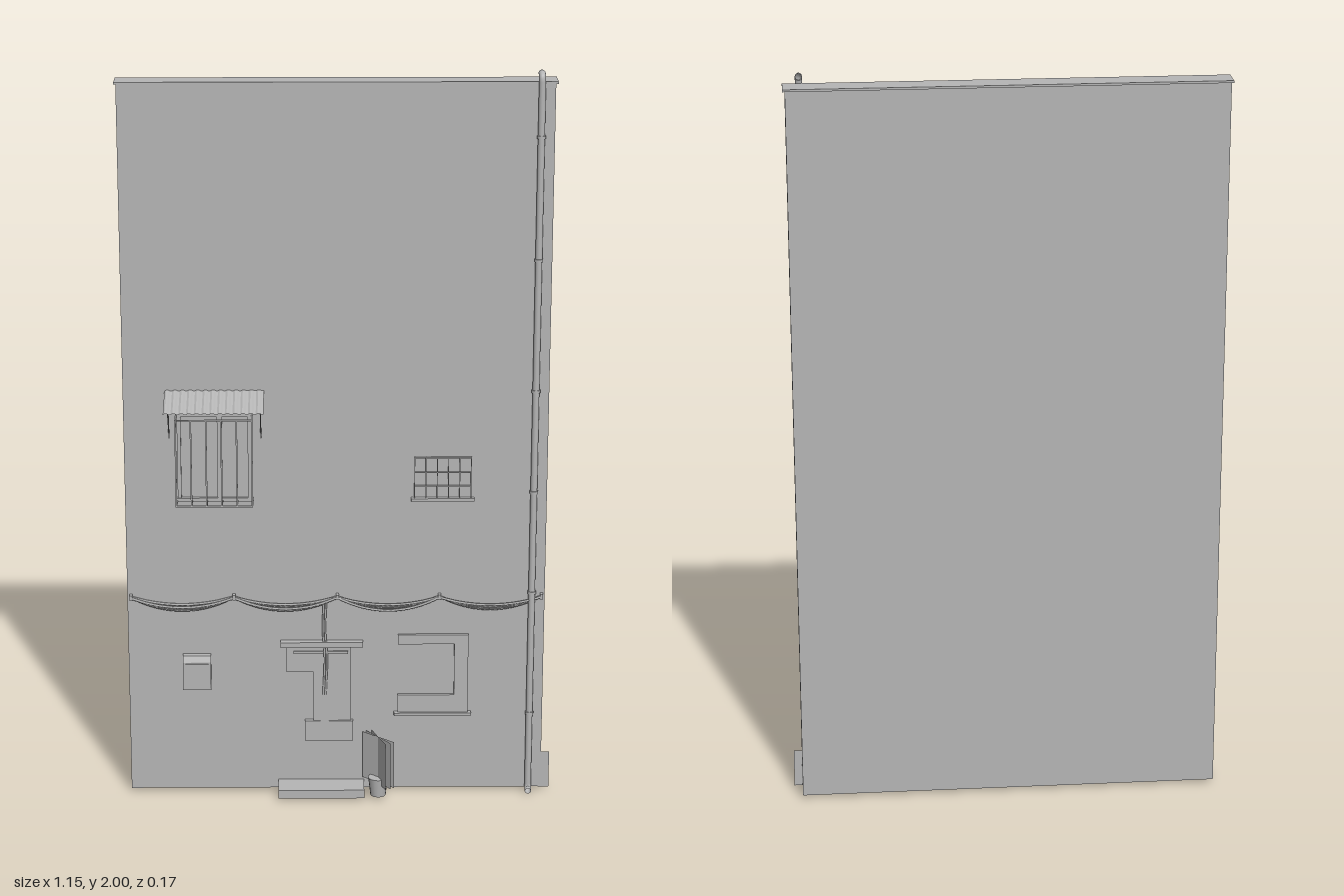
import * as THREE from 'three';

const grey = new THREE.MeshStandardMaterial({ color: 0xb6b6b6, side: THREE.DoubleSide });
grey.name = 'plainGrey';

const WALL_Z = -0.022; // front face of the wall

function add(parent, name, geometry) {
  const mesh = new THREE.Mesh(geometry, grey);
  mesh.name = name;
  parent.add(mesh);
  return mesh;
}

// box given by its limits on each axis
function block(parent, name, x0, x1, y0, y1, z0, z1) {
  const mesh = add(parent, name, new THREE.BoxGeometry(x1 - x0, y1 - y0, z1 - z0));
  mesh.position.set((x0 + x1) / 2, (y0 + y1) / 2, (z0 + z1) / 2);
  return mesh;
}

function tube(parent, name, points, radius, segments = 12, sides = 6) {
  const curve = new THREE.CatmullRomCurve3(points.map(p => new THREE.Vector3(...p)));
  return add(parent, name, new THREE.TubeGeometry(curve, segments, radius, sides));
}

function part(root, name) {
  const group = new THREE.Group();
  group.name = name;
  root.add(group);
  return group;
}

// flat outline raised from the wall
function plate(parent, name, points, depth) {
  const shape = new THREE.Shape(points.map(p => new THREE.Vector2(...p)));
  const mesh = add(parent, name, new THREE.ExtrudeGeometry(shape, { depth, bevelEnabled: false }));
  mesh.position.z = WALL_Z;
  return mesh;
}

function buildWall(root) {
  // hollow wall, open underneath: drop the bottom face of the box
  const wall = block(root, 'wall', -0.572, 0.552, 0.01, 1.966, -0.082, WALL_Z);
  const index = Array.from(wall.geometry.index.array);
  index.splice(18, 6);
  wall.geometry.setIndex(index);
  wall.geometry.clearGroups();
  block(root, 'wallCap', -0.577, 0.558, 1.966, 1.972, -0.086, -0.02);
  const foot = add(root, 'cornerFoot', new THREE.PlaneGeometry(0.03, 0.105));
  foot.position.set(0.559, 0.0625, -0.02);
}

function buildDrainpipe(root) {
  const g = part(root, 'drainpipe');
  const x = 0.516, z = -0.011;
  const pipe = add(g, 'pipe', new THREE.CylinderGeometry(0.009, 0.009, 1.957, 12));
  pipe.position.set(x, 0.9965, z);
  tube(g, 'topElbow', [[x, 1.97, z], [x, 1.985, z - 0.003], [x, 1.991, z - 0.012], [x, 1.991, z - 0.026]], 0.009, 8, 12);
  tube(g, 'bottomElbow', [[x, 0.022, z], [x, 0.013, z + 0.004], [x, 0.009, z + 0.018]], 0.009, 6, 12);
  for (const y of [0.235, 0.585, 0.87, 1.15, 1.505, 1.83]) {
    const ring = add(g, 'pipeClamp', new THREE.CylinderGeometry(0.0115, 0.0115, 0.008, 12));
    ring.position.set(x, y, z);
    block(g, 'clampFoot', x - 0.004, x + 0.004, y - 0.003, y + 0.003, WALL_Z, z);
  }
}

function buildCagedWindow(root) {
  const g = part(root, 'cagedWindow');
  const x0 = -0.435, x1 = -0.23, y0 = 0.845, y1 = 1.093, front = 0.034, t = 0.004;
  // frame on the wall
  block(g, 'frameLeft', x1 - 0.014, x1 - 0.004, y0, y1, WALL_Z, -0.014);
  block(g, 'frameRight', x0 + 0.004, x0 + 0.014, y0, y1, WALL_Z, -0.014);
  block(g, 'frameTop', x0, x1, y1 - 0.012, y1 + 0.006, WALL_Z, -0.012);
  block(g, 'frameBottom', x0, x1, y0, y0 + 0.01, WALL_Z, -0.012);
  block(g, 'mullion', -0.325, -0.312, y0, y1, WALL_Z, -0.015);
  // cage of thin bars
  for (let i = 0; i <= 5; i++) {
    const x = x0 + (x1 - x0 - t) * i / 5;
    block(g, 'cageBar', x, x + t, y0, y1 - 0.006, front - t, front);
    block(g, 'cageFloorBar', x, x + t, y0, y0 + t, WALL_Z, front);
  }
  for (const y of [y0, y1 - 0.01]) {
    block(g, 'cageRail', x0, x1, y, y + t, front - t, front);
    for (const x of [x0, x1 - t]) block(g, 'cageSideRail', x, x + t, y, y + t, WALL_Z, front);
  }
}

function buildAwning(root) {
  const g = part(root, 'awning');
  // corrugated sheet: alternate pairs of vertices are raised
  const geo = new THREE.PlaneGeometry(0.262, 0.111, 52, 1);
  const p = geo.attributes.position;
  for (let i = 0; i < p.count; i++) p.setZ(i, [0, 0.003, 0.003, 0][(i % 53) % 4]);
  geo.rotateX(-Math.PI / 2 + 0.3);
  const flat = geo.toNonIndexed();
  flat.computeVertexNormals();
  add(g, 'corrugatedSheet', flat).position.set(-0.331, 1.134, 0.031);
  for (const x of [-0.452, -0.209]) {
    tube(g, 'strut', [[x, 1.03, WALL_Z], [x, 1.075, 0.01], [x, 1.122, 0.045]], 0.0015, 2, 4);
    block(g, 'strutPlate', x - 0.001, x + 0.001, 1.02, 1.14, WALL_Z, -0.018);
  }
}

function buildGridWindow(root) {
  const g = part(root, 'gridWindow');
  const z1 = -0.014;
  for (let i = 0; i <= 5; i++) {
    const x = 0.198 + 0.03 * i;
    block(g, 'gridUpright', x, x + 0.002, 0.85, 0.967, WALL_Z, z1);
  }
  for (const y of [0.885, 0.923, 0.964]) block(g, 'gridRail', 0.198, 0.35, y, y + 0.002, WALL_Z, z1);
  block(g, 'sill', 0.19, 0.358, 0.845, 0.853, WALL_Z, -0.008);
}

function buildCables(root) {
  const g = part(root, 'cables');
  const pegs = [-0.562, -0.285, -0.007, 0.268, 0.543];
  // four loose strands between each pair of pegs
  for (let s = 0; s < 4; s++) {
    for (let i = 0; i < 4; i++) {
      const a = pegs[i], b = pegs[i + 1], points = [];
      const sag = 0.022 + 0.005 * ((s * 3 + i) % 4);
      for (let k = 0; k <= 6; k++) {
        const u = k / 6;
        points.push([a + (b - a) * u, 0.572 - sag * 4 * u * (1 - u), -0.018 + 0.003 * s]);
      }
      tube(g, 'hangingCable', points, 0.0035, 20, 6);
    }
  }
  for (const x of pegs) block(g, 'cablePeg', x - 0.004, x + 0.004, 0.566, 0.58, WALL_Z, -0.006);
  for (const dx of [0, 0.006]) {
    tube(g, 'dropCable', [[-0.043 + dx, 0.562, -0.012], [-0.046 + dx, 0.48, -0.012],
      [-0.041 + dx, 0.4, -0.009], [-0.045 + dx, 0.29, -0.012]], 0.003, 16, 6);
  }
}

function buildWallFittings(root) {
  // meter cabinet with a sloping top
  const cabinet = part(root, 'meterCabinet');
  const side = new THREE.Shape([[0, 0.31], [0.025, 0.31], [0.025, 0.39], [0.018, 0.407], [0, 0.407]]
    .map(p => new THREE.Vector2(...p)));
  const body = add(cabinet, 'cabinetBody', new THREE.ExtrudeGeometry(side, { depth: 0.076, bevelEnabled: false }));
  body.rotation.y = -Math.PI / 2;
  body.position.set(-0.349, 0, WALL_Z);
  block(cabinet, 'cabinetDoor', -0.418, -0.356, 0.316, 0.386, 0.002, 0.005);

  // doorway surround and ledge
  const door = part(root, 'doorwayPanel');
  block(door, 'ledge', -0.16, 0.062, 0.43, 0.445, WALL_Z, -0.002);
  block(door, 'ledgeMoulding', -0.125, 0.022, 0.41, 0.417, WALL_Z, -0.008);
  plate(door, 'steppedPanel', [[-0.145, 0.43], [-0.145, 0.355], [-0.072, 0.355], [-0.072, 0.21],
    [0.03, 0.21], [0.03, 0.43]], 0.009);
  block(door, 'lowerBlock', -0.095, -0.03, 0.155, 0.213, WALL_Z, -0.01);
  block(door, 'lowerBlock', -0.03, 0.036, 0.155, 0.213, WALL_Z, -0.008);

  // bracket-shaped shop frame open on one side
  const frame = part(root, 'openFrame');
  plate(frame, 'frameBand', [[0.157, 0.462], [0.157, 0.435], [0.31, 0.435], [0.31, 0.287],
    [0.157, 0.287], [0.157, 0.235], [0.348, 0.235], [0.348, 0.462]], 0.009);
  block(frame, 'frameSill', 0.147, 0.357, 0.228, 0.236, WALL_Z, -0.006);
}

function buildGroundItems(root) {
  block(root, 'doorStep', -0.168, 0.066, 0.01, 0.034, WALL_Z, 0.052);
  // potted plant: tapered pot with crossed leaf cards
  const plant = part(root, 'pottedPlant');
  plant.position.set(0.104, 0, 0.026);
  add(plant, 'pot', new THREE.CylinderGeometry(0.027, 0.021, 0.052, 16)).position.y = 0.036;
  for (const turn of [0.35, 0.62, 0.85]) {
    const card = add(plant, 'leafCard', new THREE.PlaneGeometry(0.112, 0.135));
    card.position.y = 0.113;
    card.rotation.y = turn - Math.PI / 2;
  }
}

export function createModel() {
  const root = new THREE.Group();
  root.name = 'buildingFacade';
  buildWall(root);
  buildDrainpipe(root);
  buildCagedWindow(root);
  buildAwning(root);
  buildGridWindow(root);
  buildCables(root);
  buildWallFittings(root);
  buildGroundItems(root);
  return root;
}
